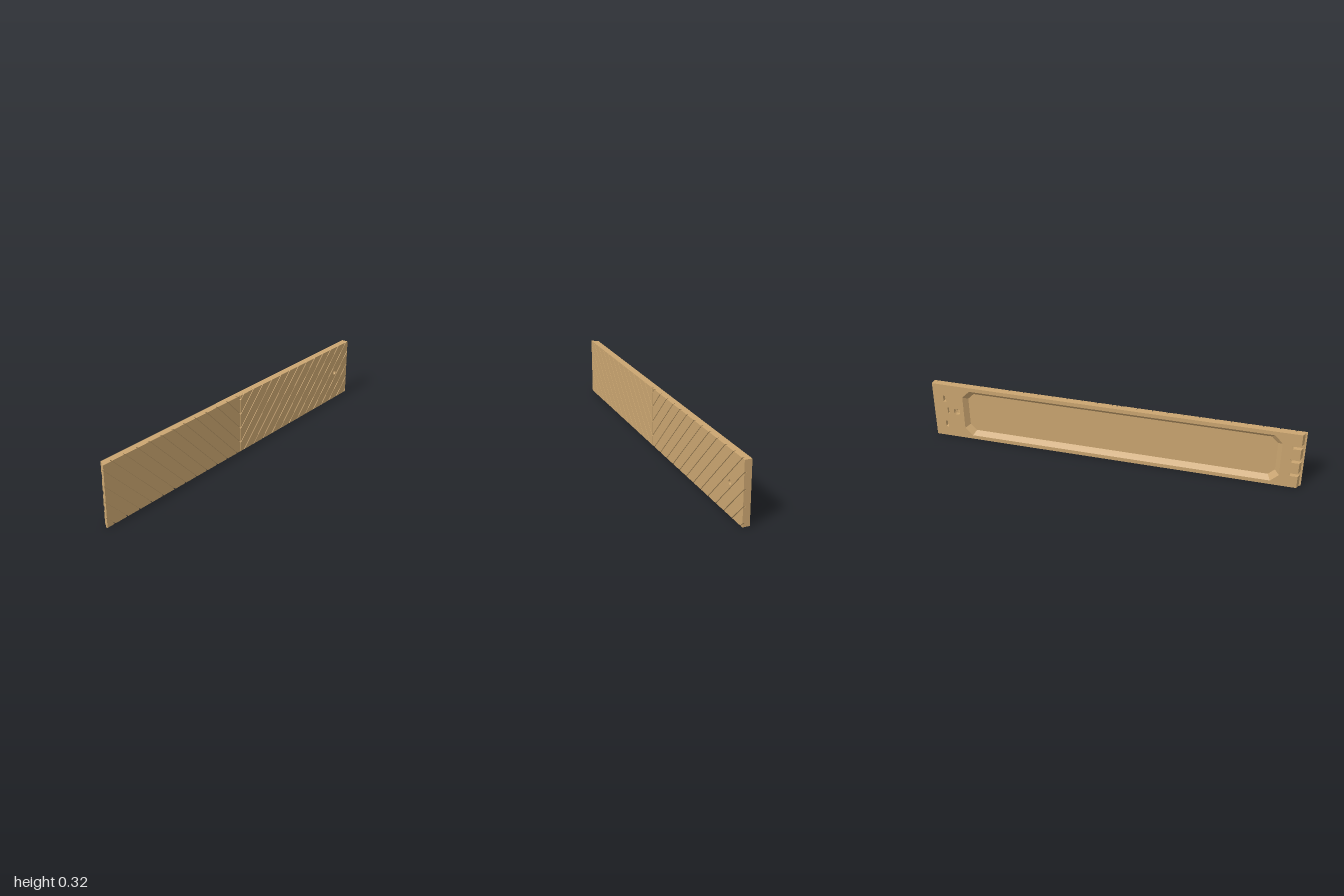
import * as THREE from 'three';

const H = 0.322, SEAM = -0.025, GROOVE = 0.004, STEP = 0.0815;
const Z_BACK = -0.018, Z_FLOOR = 0.005, Z_GROOVE = 0.008, Z_FRONT = 0.019;
const HOLE = { x: 0.87, y: 0.162 };

const wood = new THREE.MeshStandardMaterial({ color: 0xcaa570 });
wood.name = 'lightWood';

const toShape = (pts) => new THREE.Shape(pts.map(([x, y]) => new THREE.Vector2(x, y)));
const toPath = (pts) => new THREE.Path(pts.map(([x, y]) => new THREE.Vector2(x, y)));
const rect = (x, y, w, h) => [[x - w / 2, y - h / 2], [x + w / 2, y - h / 2], [x + w / 2, y + h / 2], [x - w / 2, y + h / 2]];
const circle = (r) => new THREE.Path().absarc(HOLE.x, HOLE.y, r, 0, Math.PI * 2, true);

function slab(shape, z0, z1) {
  const g = new THREE.ExtrudeGeometry(shape, { depth: z1 - z0, bevelEnabled: false, curveSegments: 12 });
  return g.translate(0, 0, z0);
}

function part(group, name, geometry) {
  const m = new THREE.Mesh(geometry, wood);
  m.name = name;
  group.add(m);
  return m;
}

// Keep the side of a polygon where f(point) >= 0
function clip(poly, f) {
  const out = [];
  poly.forEach((p, i) => {
    const q = poly[(i + 1) % poly.length], a = f(p), b = f(q);
    if (a >= 0) out.push(p);
    if (a * b < 0) {
      const t = a / (a - b);
      out.push([p[0] + (q[0] - p[0]) * t, p[1] + (q[1] - p[1]) * t]);
    }
  });
  return out;
}

// Rectangle with chamfered corners
function octagon(x0, x1, y0, y1, c) {
  return [[x0 + c, y0], [x1 - c, y0], [x1, y0 + c], [x1, y1 - c],
    [x1 - c, y1], [x0 + c, y1], [x0, y1 - c], [x0, y0 + c]];
}

// Diagonal boards separated by grooves, on one side of the seam
function addBoards(group, mirrored) {
  const xEnd = mirrored ? 2 * SEAM + 1 : 1, x0 = SEAM + GROOVE / 2;
  const half = GROOVE / Math.SQRT2;
  const line = (k) => STEP * k - 0.24;
  for (let k = -2; k < 16; k++) {
    let poly = [[x0, 0], [xEnd, 0], [xEnd, H], [x0, H]];
    poly = clip(poly, ([x, y]) => x - y - line(k) - half);
    poly = clip(poly, ([x, y]) => line(k + 1) - half - (x - y));
    if (poly.length < 3) continue;
    if (mirrored) poly = poly.map(([x, y]) => [2 * SEAM - x, y]).reverse();
    const shape = toShape(poly);
    if (!mirrored && k === 11) shape.holes.push(circle(0.012));
    part(group, mirrored ? 'rightBoard' : 'leftBoard', slab(shape, Z_GROOVE, Z_FRONT));
  }
}

export function createModel() {
  const group = new THREE.Group();
  group.name = 'drawerFront';

  // Chevron face
  const boards = new THREE.Group();
  boards.name = 'chevronBoards';
  addBoards(boards, false);
  addBoards(boards, true);
  group.add(boards);

  // Thin core behind the grooves, forming the pocket floor
  const core = toShape([[-0.994, 0], [1, 0], [1, H], [-0.994, H]]);
  core.holes.push(circle(0.012));
  part(group, 'corePanel', slab(core, Z_FLOOR, Z_GROOVE));

  // Back frame with three slots open at the right end
  const outline = [[-0.98, 0], [1, 0], [1, H], [-0.98, H]];
  for (const y of [0.245, 0.163, 0.081]) {
    outline.push([-0.98, y + 0.012], [-0.94, y + 0.012], [-0.932, y + 0.005],
      [-0.932, y - 0.005], [-0.94, y - 0.012], [-0.98, y - 0.012]);
  }
  const frame = toShape(outline);
  const rim = octagon(-0.886, 0.83, 0.022, 0.3, 0.042);
  frame.holes.push(toPath(rim), circle(0.019));
  frame.holes.push(toPath(rect(0.935, 0.235, 0.016, 0.036)));
  frame.holes.push(toPath(rect(0.935, 0.075, 0.016, 0.036)));
  frame.holes.push(toPath(rect(0.92, 0.162, 0.008, 0.036)));
  const frameGeo = slab(frame, Z_BACK, Z_FLOOR);

  // Slant the right end outward towards the front
  const pos = frameGeo.attributes.position;
  for (let i = 0; i < pos.count; i++) {
    if (pos.getX(i) < -0.975 && pos.getZ(i) > 0) pos.setX(i, -0.99);
  }
  frameGeo.computeVertexNormals();
  part(group, 'backFrame', frameGeo);

  // Sloping walls of the pocket
  const inner = octagon(-0.862, 0.806, 0.046, 0.276, 0.034);
  const verts = [];
  rim.forEach((a, i) => {
    const j = (i + 1) % rim.length;
    const A = [...a, Z_BACK], B = [...rim[j], Z_BACK];
    const C = [...inner[j], Z_FLOOR], D = [...inner[i], Z_FLOOR];
    verts.push(...A, ...C, ...B, ...A, ...D, ...C);
  });
  const walls = new THREE.BufferGeometry();
  walls.setAttribute('position', new THREE.Float32BufferAttribute(verts, 3));
  walls.computeVertexNormals();
  part(group, 'pocketWalls', walls);

  return group;
}
